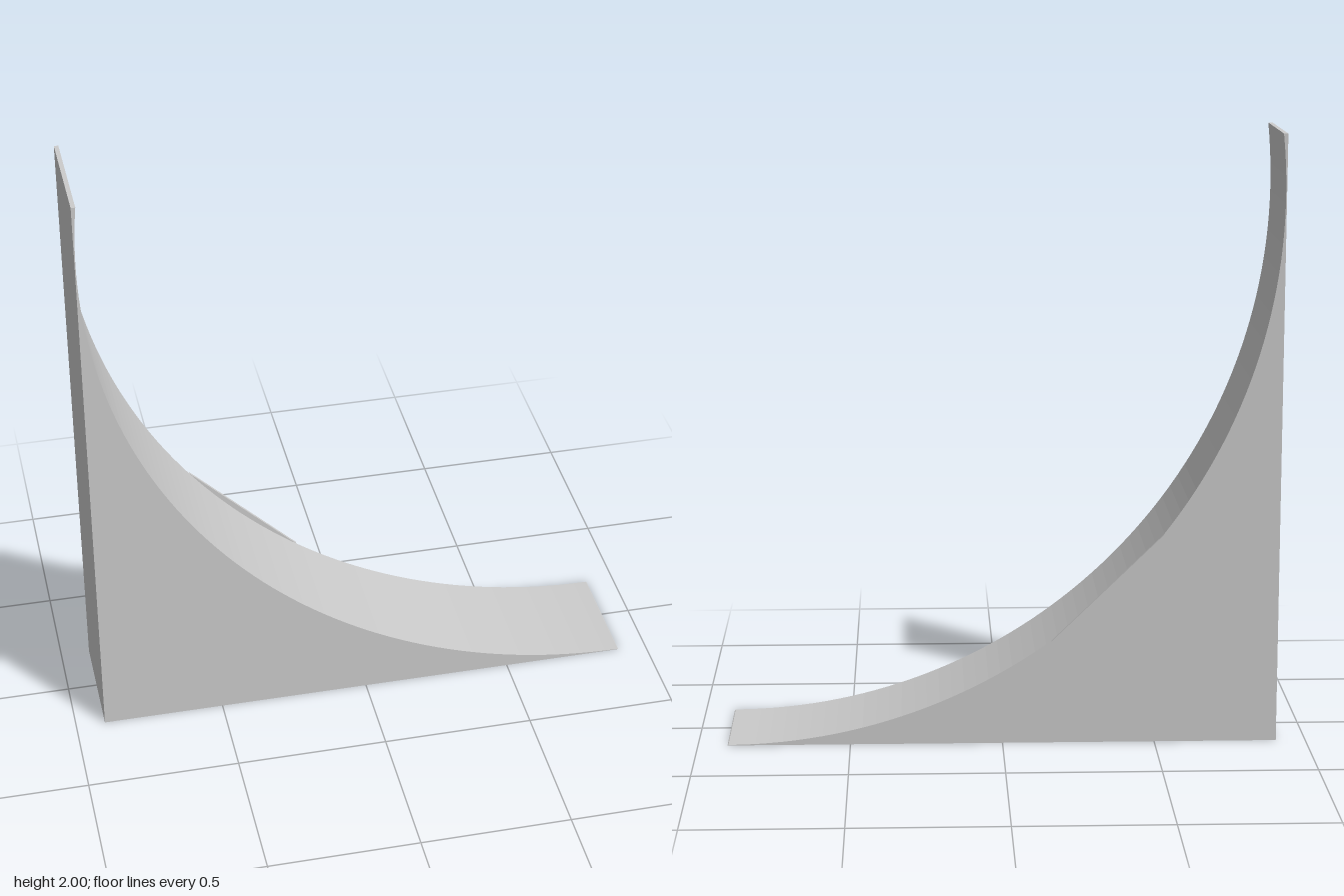
import * as THREE from 'three';

// Circle that scoops out the concave face
const CX = 0.9, CY = 1.802, R = 1.8;
const LEFT = -0.903, TOP = 2, RIGHT = 0.903;

const angleAtX = (x) => Math.PI + Math.acos((CX - x) / R);

// Plate with the given straight-sided corner points, closed by the arc a0 -> a1
function arcPlate(name, corners, a0, a1, segments, z0, z1, material) {
  const shape = new THREE.Shape(corners.map(([x, y]) => new THREE.Vector2(x, y)));
  shape.absarc(CX, CY, R, a0, a1, true);
  const geometry = new THREE.ExtrudeGeometry(shape, {
    depth: z1 - z0, bevelEnabled: false, curveSegments: segments,
  });
  geometry.translate(0, 0, z0);
  const mesh = new THREE.Mesh(geometry, material);
  mesh.name = name;
  return mesh;
}

export function createModel() {
  const group = new THREE.Group();
  group.name = 'curvedRamp';
  const material = new THREE.MeshStandardMaterial({ color: 0xcccccc, flatShading: true });

  // Main body: upright back, flat base and a quarter-circle scoop
  // that curls slightly past vertical at the top
  const topAngle = Math.PI - Math.asin((TOP - CY) / R);
  group.add(arcPlate('rampBody',
    [[LEFT, TOP], [LEFT, 0], [RIGHT, 0]],
    Math.PI * 1.5, topAngle, 34, -0.19, 0.2, material));

  // Thin raised panel on the rear side, bounded by the scoop
  const px0 = -0.525, px1 = -0.16, py = CY + R * Math.sin(angleAtX(px1));
  group.add(arcPlate('rearPanel',
    [[px0, py]],
    angleAtX(px1), angleAtX(px0), 10, -0.2, -0.19, material));

  return group;
}
